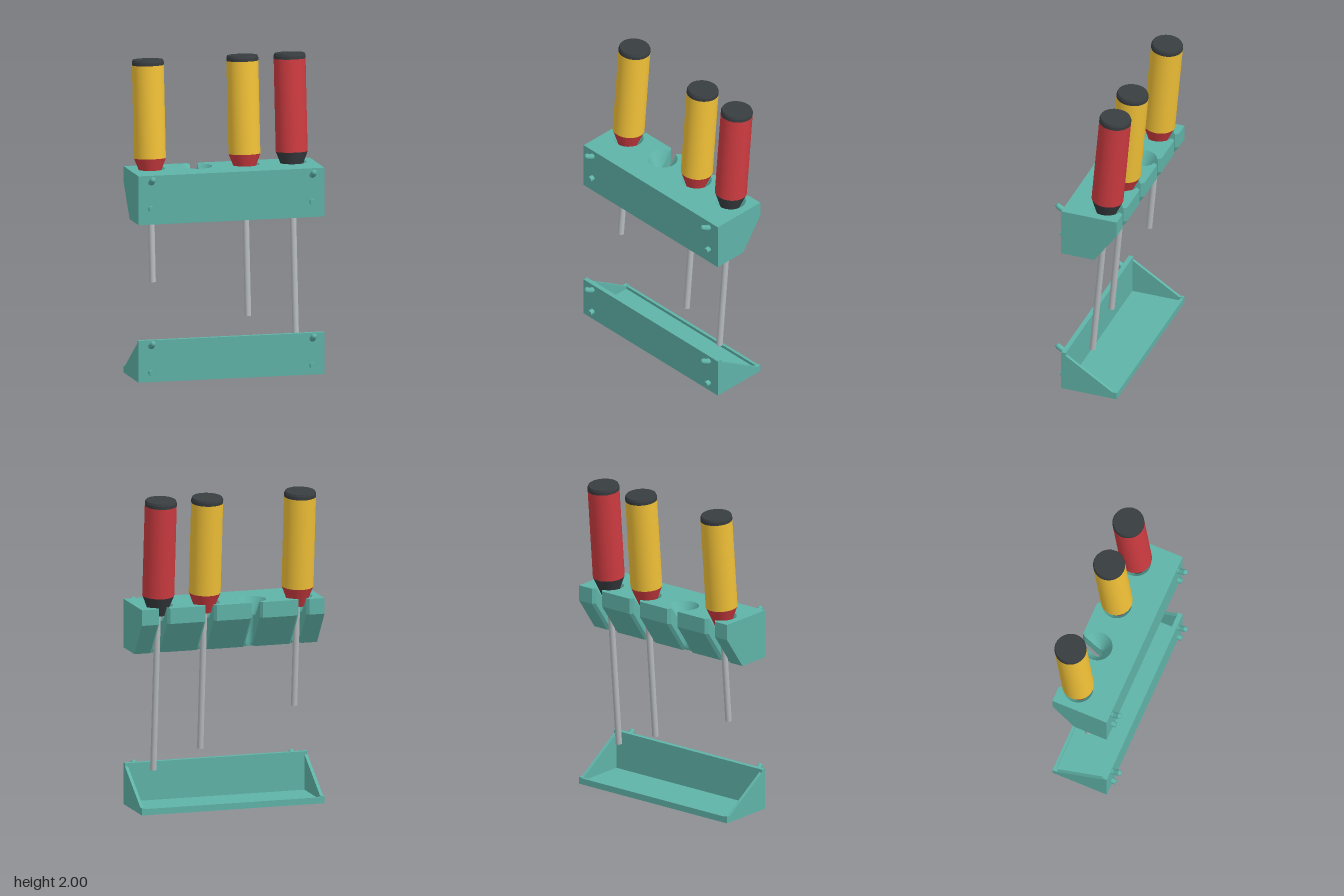
import * as THREE from 'three';
import { toCreasedNormals } from 'three/addons/utils/BufferGeometryUtils.js';

const mat = (color, side = THREE.FrontSide) => new THREE.MeshStandardMaterial({ color, side });
const TEAL = mat(0x5fb3a8), YELLOW = mat(0xf0c037), RED = mat(0xcc3b40), DARK = mat(0x383d40), STEEL = mat(0xb5babd);
const SLOTS = [-0.46, -0.155, 0.15, 0.455];
const TILT = 0.0873;

function add(parent, name, geometry, material, x = 0, y = 0, z = 0) {
  const mesh = new THREE.Mesh(geometry, material);
  mesh.name = name;
  mesh.position.set(x, y, z);
  parent.add(mesh);
  return mesh;
}

// Horizontal outline of the rack at height y: a block with four keyhole slots in its back
function rackOutline(y) {
  const back = y < 1.21 ? -0.05 - 0.15 * (y - 1) / 0.21 : -0.2;
  const mouth = back + 0.02, half = 0.026;
  const centre = -0.084 - (y - 1.31) * TILT;
  const r = half + 0.068 * Math.max(0, (y - 1.2) / 0.11);
  const pts = [[-0.6, 0.17], [0.6, 0.17], [0.6, back]];
  for (const x of [...SLOTS].reverse()) {
    pts.push([x + 0.042, back], [x + half, mouth]);
    const a = Math.asin(Math.min(1, half / r));
    for (let i = 0; i <= 24; i++) {
      const t = a + (2 * Math.PI - 2 * a) * i / 24;
      pts.push([x + r * Math.sin(t), Math.max(mouth, centre - r * Math.cos(t))]);
    }
    pts.push([x - half, mouth], [x - 0.042, back]);
  }
  pts.push([-0.6, back]);
  return pts;
}

// Loft the outlines through several heights and cap both ends
function rackGeometry() {
  const levels = [1, 1.02, 1.04, 1.06, 1.2, 1.21, 1.22, 1.24, 1.27, 1.31];
  const rings = levels.map(rackOutline);
  const n = rings[0].length, pos = [], idx = [];
  rings.forEach((ring, k) => ring.forEach(([x, z]) => pos.push(x, levels[k], z)));
  for (let k = 0; k < levels.length - 1; k++) {
    for (let i = 0; i < n; i++) {
      const a = k * n + i, b = k * n + (i + 1) % n;
      idx.push(a, b, b + n, a, b + n, a + n);
    }
  }
  const cap = (k, flip) => {
    const contour = rings[k].map(([x, z]) => new THREE.Vector2(x, -z));
    for (const [a, b, c] of THREE.ShapeUtils.triangulateShape(contour, [])) {
      const o = k * n;
      idx.push(o + a, o + (flip ? c : b), o + (flip ? b : c));
    }
  };
  cap(0, true);
  cap(levels.length - 1, false);
  const g = new THREE.BufferGeometry();
  g.setAttribute('position', new THREE.Float32BufferAttribute(pos, 3));
  g.setIndex(idx);
  return toCreasedNormals(g, 0.4);
}

// Pegboard pegs: straight ones below, upturned hooks above
function pegs(baseY) {
  const group = new THREE.Group();
  group.name = 'pegs';
  const r = 0.018;
  const path = new THREE.CurvePath();
  const p = [[0.16, 0], [0.185, 0.003], [0.195, 0.008], [0.222, 0.024]].map(([z, y]) => new THREE.Vector3(0, y, z));
  path.add(new THREE.LineCurve3(p[0], p[1]));
  path.add(new THREE.QuadraticBezierCurve3(p[1], p[2], p[3]));
  for (const x of [-0.52, 0.52]) {
    add(group, 'straightPeg', new THREE.CylinderGeometry(r, r, 0.04, 20).rotateX(Math.PI / 2), TEAL, x, baseY + 0.1, 0.18);
    add(group, 'hookPeg', new THREE.TubeGeometry(path, 12, r, 16), TEAL, x, baseY + 0.267, 0);
    add(group, 'hookTip', new THREE.SphereGeometry(r, 16, 12), TEAL, x, baseY + 0.291, 0.219);
  }
  return group;
}

// Drip tray with sloping ends
function tray() {
  const group = new THREE.Group();
  group.name = 'tray';
  add(group, 'trayFloor', new THREE.BoxGeometry(1.2, 0.02, 0.37), TEAL, 0, 0.01, -0.015);
  add(group, 'trayFront', new THREE.BoxGeometry(1.2, 0.265, 0.03), TEAL, 0, 0.1325, 0.155);
  add(group, 'trayLip', new THREE.BoxGeometry(1.2, 0.04, 0.018), TEAL, 0, 0.02, -0.191);
  const profile = [[0.155, 0], [0.155, 0.255], [0.14, 0.245], [-0.17, 0.045], [-0.2, 0.045], [-0.2, 0]];
  const shape = new THREE.Shape(profile.map(([z, y]) => new THREE.Vector2(z, y)));
  const end = new THREE.ExtrudeGeometry(shape, { depth: 0.02, bevelEnabled: false }).rotateY(-Math.PI / 2);
  add(group, 'trayRightEnd', end, TEAL, -0.58);
  add(group, 'trayLeftEnd', end, TEAL, 0.6);
  group.add(pegs(-0.04));
  return group;
}

// Screwdriver leaning back in its slot; tipY is the height of the blade end
function screwdriver(x, tipY, gripMat, collarMat) {
  const group = new THREE.Group();
  group.name = 'screwdriver';
  const length = (1.31 - tipY) / Math.cos(TILT);
  const turned = (name, points, material) => add(group, name, toCreasedNormals(
    new THREE.LatheGeometry(points.map(([r, y]) => new THREE.Vector2(r, y)), 40), 0.4), material);
  add(group, 'shaft', new THREE.CylinderGeometry(0.02, 0.02, length, 24), STEEL, 0, -length / 2, 0);
  turned('collar', [[0, -0.06], [0.052, -0.06], [0.1, 0.066], [0, 0.066]], collarMat);
  turned('grip', [[0, 0.064], [0.1, 0.066], [0.1, 0.65], [0, 0.65]], gripMat);
  turned('endCap', [[0, 0.648], [0.1, 0.65], [0.1, 0.67], [0.094, 0.684], [0, 0.684]], DARK);
  group.position.set(x, 1.31, -0.079);
  group.rotation.x = -TILT;
  return group;
}

export function createModel() {
  const model = new THREE.Group();
  model.name = 'screwdriverRack';
  const rack = new THREE.Group();
  rack.name = 'rack';
  add(rack, 'rackBlock', rackGeometry(), TEAL);
  rack.add(pegs(1));
  model.add(rack, tray());
  model.add(
    screwdriver(SLOTS[0], 0.6, YELLOW, RED),
    screwdriver(SLOTS[2], 0.36, YELLOW, RED),
    screwdriver(SLOTS[3], 0.24, RED, DARK)
  );
  return model;
}
